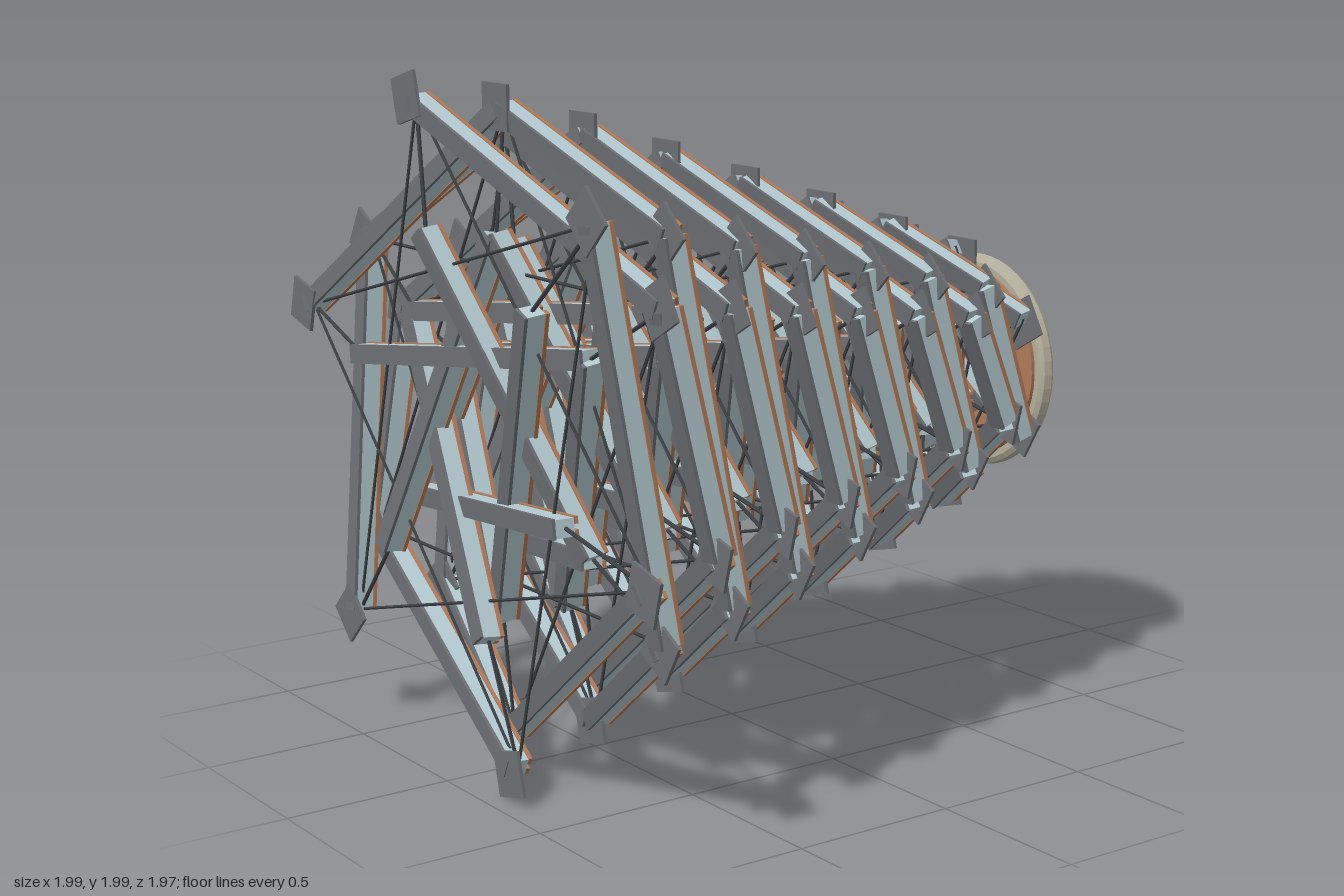
import * as THREE from 'three';

const mat = (color) => new THREE.MeshStandardMaterial({ color, flatShading: true });
const steel = mat(0x6c6e73), blue = mat(0xb4cbd2), copper = mat(0xb07a58), dark = mat(0x3c3f43), cream = mat(0xb5b09c);

const LEVELS = 14;
const Z = new THREE.Vector3(0, 0, 1);
const rad = THREE.MathUtils.degToRad;

function polar(r, deg, z) {
  return new THREE.Vector3(r * Math.cos(rad(deg)), 1 + r * Math.sin(rad(deg)), z);
}
// Corners of the plates, the outer beams and the inner beams at a level
const plateCorner = (k, deg) => polar(0.95 - 0.0475 * k, deg, 0.94 - 0.1415 * k);
const outerCorner = (k, deg) => polar(0.938 - 0.0435 * k, deg, 0.91 - 0.137 * k);
const innerCorner = (k, deg) => polar(0.575 - 0.0285 * k, deg, 0.942 - 0.138 * k);

// Even levels are turned by 15 degrees
const turn = (k) => (k % 2 === 0 ? 45 : 30);

function box(w, h, d, material, name, x = 0, y = 0, z = 0) {
  const m = new THREE.Mesh(new THREE.BoxGeometry(w, h, d), material);
  m.position.set(x, y, z);
  m.name = name;
  return m;
}

// Layered beam: steel deck in front, pale web, two copper rails behind
function beam(a, b, name) {
  const g = new THREE.Group();
  g.name = name;
  const dir = b.clone().sub(a), len = dir.length();
  dir.normalize();
  const up = Z.clone().addScaledVector(dir, -dir.z).normalize();
  const side = new THREE.Vector3().crossVectors(up, dir);
  g.quaternion.setFromRotationMatrix(new THREE.Matrix4().makeBasis(dir, side, up));
  g.position.copy(a).add(b).multiplyScalar(0.5);
  g.add(box(len, 0.056, 0.01, steel, 'beamDeck', 0, 0, 0.033));
  g.add(box(len, 0.05, 0.054, blue, 'beamWeb', 0, 0, 0.001));
  for (const s of [-1, 1]) g.add(box(len, 0.02, 0.012, copper, 'beamRail', 0, s * 0.018, -0.032));
  return g;
}

// Thin round brace between two points
function rod(a, b, r, name) {
  const m = new THREE.Mesh(new THREE.CylinderGeometry(r, r, a.distanceTo(b), 6), dark);
  m.position.copy(a).add(b).multiplyScalar(0.5);
  m.quaternion.setFromUnitVectors(new THREE.Vector3(0, 1, 0), b.clone().sub(a).normalize());
  m.name = name;
  return m;
}

export function createModel() {
  const model = new THREE.Group();
  model.name = 'spiralTower';
  const plates = new THREE.Group(), outer = new THREE.Group(), inner = new THREE.Group(), braces = new THREE.Group();
  plates.name = 'cornerPlates';
  outer.name = 'outerSpiral';
  inner.name = 'innerSpiral';
  braces.name = 'braces';
  model.add(plates, outer, inner, braces);

  for (let k = 0; k < LEVELS; k++) {
    for (let i = 0; i < 6; i++) {
      const deg = turn(k) + i * 60;

      // Square plate at each corner, facing along the axis
      const p = box(0.13, 0.13, 0.01, steel, 'cornerPlate');
      p.position.copy(plateCorner(k, deg));
      p.rotation.z = rad(deg);
      plates.add(p);

      // Outer beams turn 75 and 45 degrees by turns; inner ones reach a corner further
      if (k > 0) {
        const end = deg + (k % 2 ? 75 : 45);
        outer.add(beam(outerCorner(k, deg), outerCorner(k - 1, end), 'outerBeam'));
        inner.add(beam(innerCorner(k, deg), innerCorner(k - 1, end + 60), 'innerBeam'));
      }

      // Thin ties across each level and struts to the inner spiral
      braces.add(rod(outerCorner(k, deg), outerCorner(k, deg + 120), 0.005, 'tie'));
      braces.add(rod(outerCorner(k, deg), innerCorner(k, deg), 0.006, 'strut'));
    }
  }

  // Round base disc with a copper lip facing the tower
  const profile = [[0, -0.99], [0.335, -0.99], [0.34, -0.98], [0.335, -0.955], [0.32, -0.945], [0, -0.945]];
  const disc = new THREE.Mesh(
    new THREE.LatheGeometry(profile.map(([r, z]) => new THREE.Vector2(r, z)), 48), cream);
  disc.rotation.x = Math.PI / 2;
  disc.position.y = 1;
  disc.name = 'baseDisc';
  const lip = new THREE.Mesh(new THREE.CylinderGeometry(0.3, 0.3, 0.012, 48), copper);
  lip.rotation.x = Math.PI / 2;
  lip.position.set(0, 1, -0.939);
  lip.name = 'discLip';
  model.add(disc, lip);

  return model;
}
